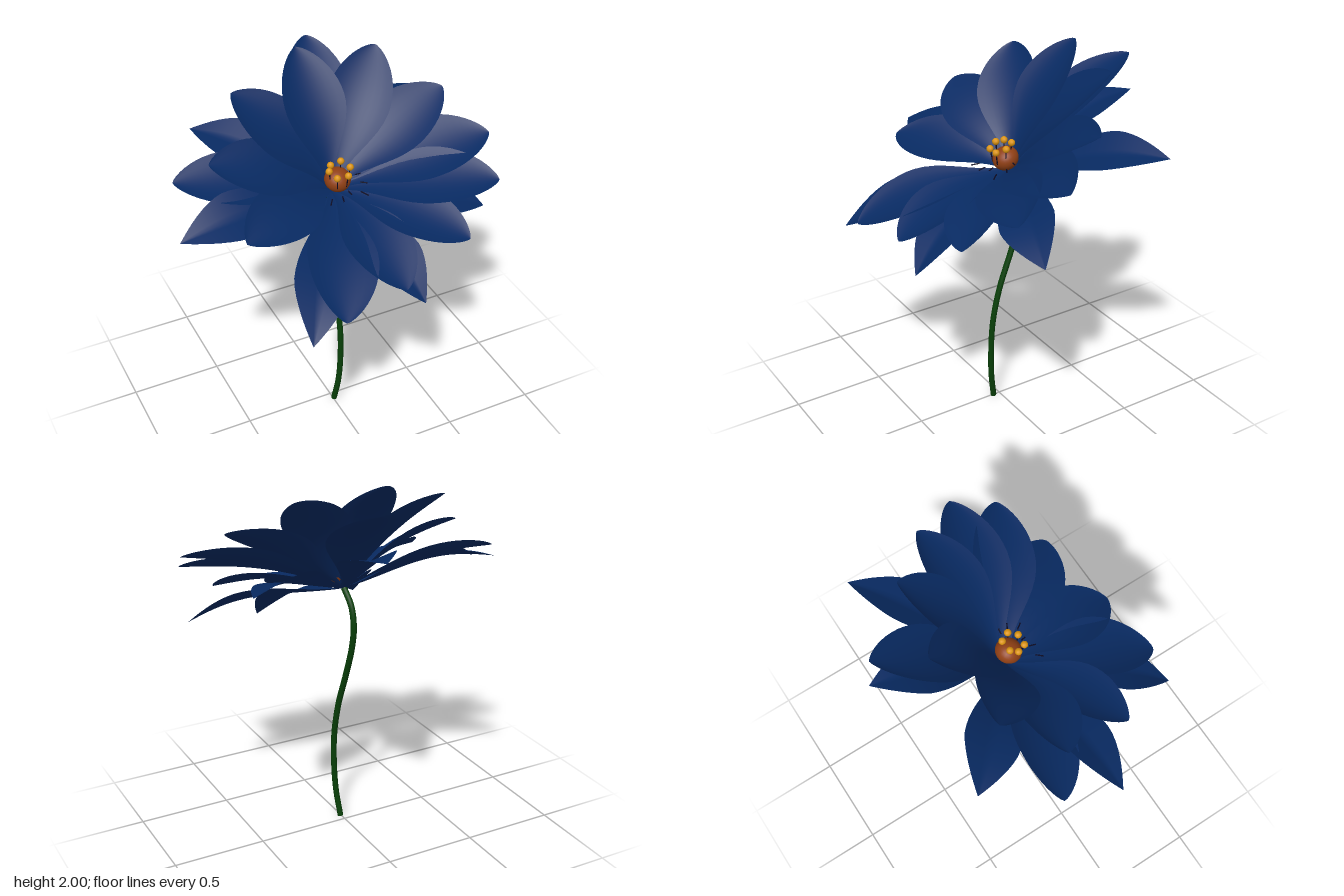
import * as THREE from 'three';

const blue = new THREE.MeshStandardMaterial({ name: 'petal blue', color: 0x082a62, side: THREE.DoubleSide });
const green = new THREE.MeshStandardMaterial({ name: 'stem green', color: 0x083f08 });
const brown = new THREE.MeshStandardMaterial({ name: 'centre brown', color: 0x8f3f14 });
const gold = new THREE.MeshStandardMaterial({ name: 'anther gold', color: 0xdc9410 });
const dark = new THREE.MeshStandardMaterial({ name: 'filament dark', color: 0x0c0a24 });

const V = (x, y, z) => new THREE.Vector3(x, y, z);
const BASE = V(0.03, 1.38, -0.05);
const AXIS = V(0, 0.9, 0.43).normalize();

// Curved blade from the flower base to a tip; pointed blades fold along the midrib
function blade(tip, half, { pointed = false, bow = 0.045, cup = 0.2 } = {}) {
  const rows = 20, cols = 10, pos = [], index = [];
  const span = tip.clone().sub(BASE);
  const dir = span.clone().normalize();
  const side = dir.clone().cross(AXIS).normalize();
  const up = side.clone().cross(dir).normalize();
  const peak = pointed ? 0.66 : 0.6;
  for (let i = 0; i <= rows; i++) {
    const t = 1 - Math.pow(1 - i / rows, 1.6);
    const q = Math.max(0, (t - peak) / (1 - peak));
    const ease = 0.5 - 0.5 * Math.cos(Math.PI * Math.min(1, t / peak));
    const w = half * (t < peak ? 0.1 + 0.9 * ease
      : pointed ? 1 - Math.pow(q, 1.6) : Math.pow(Math.max(0, 1 - q * q), 0.72));
    const arch = bow * Math.sin(Math.PI * Math.pow(t, pointed ? 1.4 : 1));
    for (let j = 0; j <= cols; j++) {
      const s = (j / cols) * 2 - 1;
      const lift = arch + cup * w * (pointed ? Math.abs(s) : s * s);
      const p = BASE.clone().addScaledVector(span, t).addScaledVector(side, s * w).addScaledVector(up, lift);
      pos.push(p.x, p.y, p.z);
      if (i < rows && j < cols) {
        const a = i * (cols + 1) + j, b = a + cols + 1;
        index.push(a, a + 1, b, b, a + 1, b + 1);
      }
    }
  }
  const g = new THREE.BufferGeometry();
  g.setAttribute('position', new THREE.Float32BufferAttribute(pos, 3));
  g.setIndex(index);
  g.computeVertexNormals();
  return g;
}

export function createModel() {
  const flower = new THREE.Group();
  flower.name = 'flower';
  const add = (name, geometry, material, parent = flower) => {
    const m = new THREE.Mesh(geometry, material);
    m.name = name;
    parent.add(m);
    return m;
  };

  // Stem: a long S-bend that nods into the flower base
  const path = new THREE.CatmullRomCurve3([
    V(0.005, 0, 0.04), V(0.02, 0.15, 0.063), V(0.028, 0.3, 0.07), V(0.032, 0.5, 0.06),
    V(0.03, 0.7, 0.015), V(0.025, 0.9, -0.06), V(0.02, 1.08, -0.118), V(0.02, 1.2, -0.135),
    V(0.022, 1.3, -0.112), V(0.03, 1.38, -0.05)]);
  add('stem', new THREE.TubeGeometry(path, 60, 0.016, 10), green);
  const foot = add('stemFoot', new THREE.CircleGeometry(0.016, 10), green);
  foot.position.set(0.005, 0.001, 0.04);
  foot.rotation.x = Math.PI / 2;

  // Rounded petals: tip x, y, z and half width
  const petals = new THREE.Group();
  petals.name = 'petals';
  flower.add(petals);
  [
    [0.02, 2.0, -0.44, 0.165], [0.43, 1.96, -0.36, 0.165], [0.69, 1.78, -0.11, 0.165],
    [0.825, 1.61, 0.15, 0.18], [0.755, 1.48, 0.38, 0.17], [0.51, 1.29, 0.53, 0.16],
    [0.1, 1.19, 0.64, 0.17], [-0.25, 1.15, 0.69, 0.175], [-0.57, 1.44, 0.28, 0.16],
    [-0.6, 1.67, -0.1, 0.165], [-0.38, 1.89, -0.33, 0.165], [-0.75, 1.54, -0.22, 0.16],
    [0.18, 1.93, -0.66, 0.165],
  ].forEach(([x, y, z, w]) => add('petal', blade(V(x, y, z), w), blue, petals));

  // Pointed outer sepals, arched over towards the tip
  const sepals = new THREE.Group();
  sepals.name = 'sepals';
  flower.add(sepals);
  [
    [-0.83, 1.39, 0.07], [-0.42, 1.06, 0.68], [0.22, 1.05, 0.62], [0.77, 1.23, 0.24],
    [0.73, 1.59, -0.5], [0.16, 1.72, -0.7], [-0.53, 1.61, -0.55],
  ].forEach(([x, y, z]) => add('sepal',
    blade(V(x, y, z), 0.14, { pointed: true, bow: 0.055, cup: 0.2 }), blue, sepals));

  // Domed centre, set along the flower axis
  const centre = new THREE.Group();
  centre.name = 'centre';
  centre.position.set(0.045, 1.455, -0.01);
  centre.quaternion.setFromUnitVectors(V(0, 1, 0), AXIS);
  flower.add(centre);
  add('centreDome', new THREE.SphereGeometry(0.068, 24, 16), brown, centre).scale.y = 0.85;

  // Thin dark filament between two points
  const filament = (from, to) => add('filament',
    new THREE.TubeGeometry(new THREE.LineCurve3(from, to), 1, 0.0035, 5), dark);

  // Stamens with gold anthers
  [
    [0.012, 1.54, -0.022], [0.072, 1.545, -0.028], [-0.012, 1.53, 0.012],
    [0.1, 1.53, 0.022], [0.01, 1.51, 0.06], [0.07, 1.51, 0.063],
  ].forEach(([x, y, z]) => {
    const tip = V(x, y, z);
    filament(V(0.045, 1.44, 0.0).lerp(V(x, 1.44, z), 0.8), tip);
    add('anther', new THREE.IcosahedronGeometry(0.019, 1), gold).position.copy(tip);
  });

  // Short dark filament ends fanned over the front petal bases
  for (let i = 0; i < 6; i++) {
    const a = 0.1 + i * 0.42, r = 0.12 + 0.03 * (i % 3);
    const end = V(Math.cos(a) * r, 0.02, Math.sin(a) * r).applyQuaternion(centre.quaternion);
    filament(centre.position.clone().addScaledVector(end, 0.75), centre.position.clone().add(end));
  }
  return flower;
}
